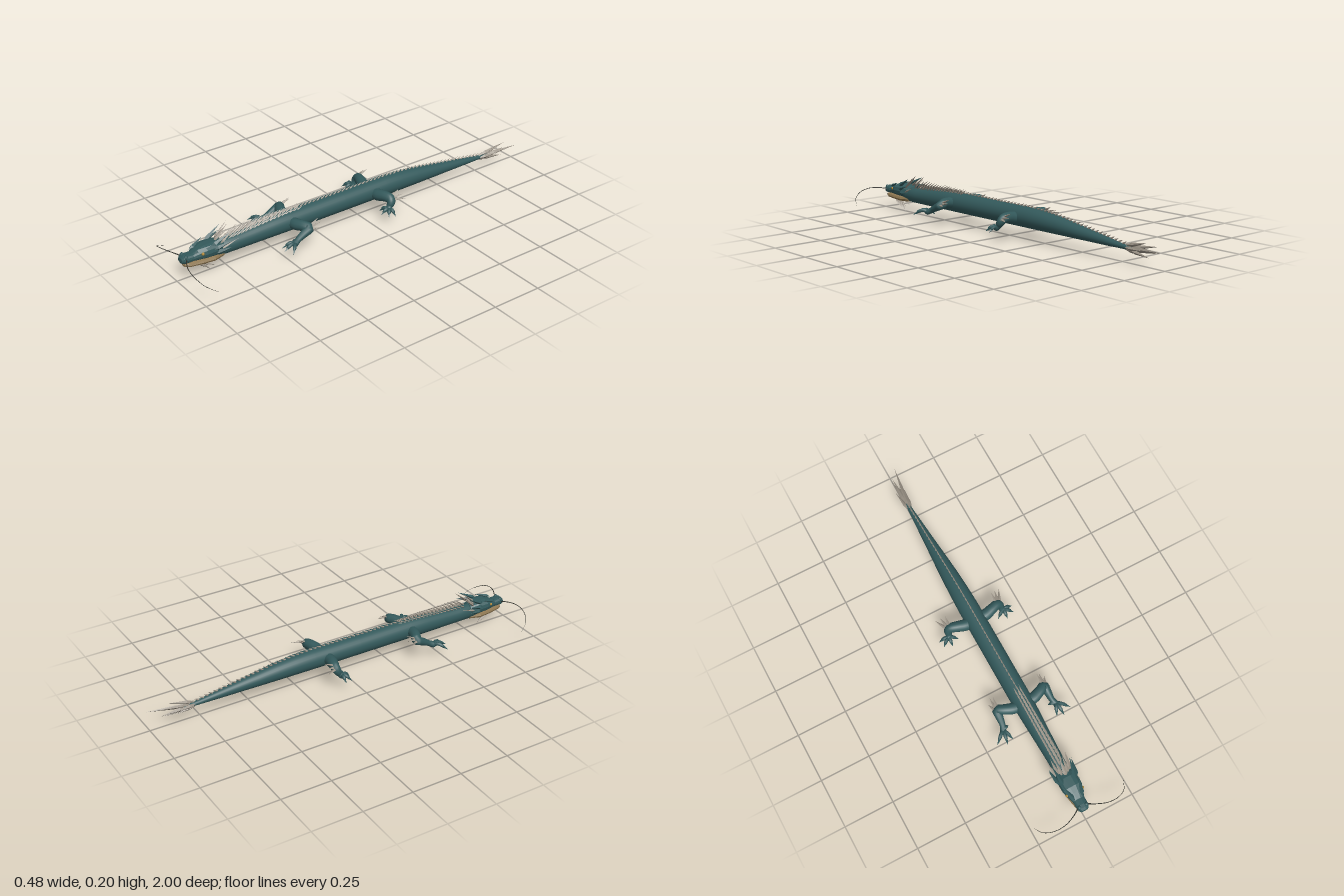
import * as THREE from 'three';
import { mergeGeometries, mergeVertices } from 'three/addons/utils/BufferGeometryUtils.js';

const mat = (name, color) => {
  const m = new THREE.MeshStandardMaterial({ color });
  m.name = name;
  return m;
};
const V = (p) => new THREE.Vector3(p[0], p[1], p[2]);

// Elliptical loft along z; each section is [z, halfWidth, yBottom, yTop], z rising
function loft(sections, sides, power = 1) {
  const pos = [], index = [];
  const bend = (v) => Math.sign(v) * Math.abs(v) ** power;
  sections.forEach(([z, w, y0, y1], i) => {
    for (let j = 0; j < sides; j++) {
      const a = (j / sides) * Math.PI * 2;
      pos.push(w * bend(Math.cos(a)), (y0 + y1) / 2 + ((y1 - y0) / 2) * bend(Math.sin(a)), z);
      if (i === sections.length - 1) continue;
      const k = (j + 1) % sides, p = i * sides, q = p + sides;
      index.push(p + j, p + k, q + j, p + k, q + k, q + j);
    }
  });
  const g = new THREE.BufferGeometry();
  g.setAttribute('position', new THREE.Float32BufferAttribute(pos, 3));
  g.setIndex(index);
  g.computeVertexNormals();
  return g;
}

const faceted = (g) => {
  const f = g.index ? g.toNonIndexed() : g;
  f.computeVertexNormals();
  return f;
};

// Round limb through points [x, y, z, radius]
function limb(points, sides = 10, steps = 20) {
  const curve = new THREE.CatmullRomCurve3(points.map(V));
  const g = new THREE.TubeGeometry(curve, steps, 1, sides);
  const p = g.attributes.position, n = g.attributes.normal;
  for (let i = 0; i < p.count; i++) {
    const u = Math.floor(i / (sides + 1)) / steps;
    const t = curve.getUtoTmapping(u) * (points.length - 1);
    const k = Math.min(Math.floor(t), points.length - 2);
    const r = THREE.MathUtils.lerp(points[k][3], points[k + 1][3], t - k);
    const c = curve.getPointAt(u);
    p.setXYZ(i, c.x + n.getX(i) * r, c.y + n.getY(i) * r, c.z + n.getZ(i) * r);
  }
  g.deleteAttribute('uv');
  g.deleteAttribute('normal');
  const m = mergeVertices(g, 1e-6);
  m.computeVertexNormals();
  return m;
}

// Four-sided pointed blade from base to tip; widest at the fraction "belly"
function spike(base, tip, width, thick, belly = 0.25) {
  const a = V(base), d = V(tip).sub(a), len = d.length();
  const g = new THREE.LatheGeometry(
    [[0, 0], [1, belly], [0, 1]].map(([x, y]) => new THREE.Vector2(x, y)), 4);
  g.scale(width, len, thick);
  const y = d.normalize();
  const ref = Math.abs(y.x) > 0.8 ? new THREE.Vector3(0, 0, 1) : new THREE.Vector3(1, 0, 0);
  const x = ref.addScaledVector(y, -ref.dot(y)).normalize();
  const z = new THREE.Vector3().crossVectors(x, y);
  g.applyMatrix4(new THREE.Matrix4().makeBasis(x, y, z).setPosition(a));
  g.deleteAttribute('uv');
  return faceted(g);
}

const BODY = [
  [-0.86, 0.002, 0.066, 0.07], [-0.82, 0.008, 0.062, 0.076], [-0.75, 0.013, 0.061, 0.084],
  [-0.65, 0.02, 0.06, 0.1], [-0.55, 0.027, 0.06, 0.115], [-0.45, 0.035, 0.06, 0.13],
  [-0.35, 0.042, 0.06, 0.145], [-0.25, 0.047, 0.06, 0.155], [-0.15, 0.05, 0.06, 0.16],
  [0.1, 0.05, 0.06, 0.16], [0.4, 0.05, 0.06, 0.16], [0.5, 0.046, 0.06, 0.155],
  [0.6, 0.041, 0.06, 0.147], [0.7, 0.037, 0.06, 0.14], [0.8, 0.036, 0.062, 0.138],
  [0.83, 0.01, 0.08, 0.11],
];
const backHeight = (z) => {
  const i = Math.max(1, BODY.findIndex((s) => s[0] >= z));
  const [a, b] = [BODY[i - 1], BODY[i]];
  return THREE.MathUtils.mapLinear(z, a[0], b[0], a[3], b[3]);
};

export function createModel() {
  const root = new THREE.Group();
  const teal = mat('teal scales', 0x33595b);
  const bone = mat('grey bone', 0x989084);
  const tan = mat('tan jaw', 0x8e7751);
  const dark = mat('dark whisker', 0x34352f);
  const amber = mat('amber eye', 0xb0852f);
  const add = (name, geo, material, parent = root) => {
    const m = new THREE.Mesh(Array.isArray(geo) ? mergeGeometries(geo) : geo, material);
    m.name = name;
    parent.add(m);
    return m;
  };

  add('body', loft(BODY, 28), teal);

  // Head with blunt snout, raised brow and tan lower jaw
  const head = new THREE.Group();
  head.name = 'head';
  root.add(head);
  add('skull', faceted(loft([
    [0.755, 0.004, 0.1, 0.11], [0.765, 0.036, 0.078, 0.14], [0.81, 0.05, 0.082, 0.15],
    [0.86, 0.05, 0.085, 0.149], [0.89, 0.04, 0.086, 0.138], [0.92, 0.03, 0.087, 0.124],
    [0.95, 0.029, 0.086, 0.126], [0.967, 0.027, 0.086, 0.125], [0.977, 0.018, 0.09, 0.116],
    [0.979, 0.001, 0.1, 0.102]], 14, 0.8)), teal, head);
  add('lowerJaw', faceted(loft([
    [0.75, 0.004, 0.075, 0.08], [0.765, 0.03, 0.062, 0.09], [0.82, 0.044, 0.058, 0.09],
    [0.88, 0.038, 0.06, 0.088], [0.94, 0.027, 0.063, 0.086], [0.962, 0.018, 0.068, 0.085],
    [0.966, 0.001, 0.076, 0.078]], 12, 0.75)), tan, head);

  const horns = [], crest = [], beard = [], fangs = [];
  for (const s of [-1, 1]) {
    horns.push(
      spike([s * 0.03, 0.135, 0.84], [s * 0.047, 0.188, 0.74], 0.011, 0.011),
      spike([s * 0.044, 0.125, 0.83], [s * 0.06, 0.15, 0.74], 0.01, 0.012),
      spike([s * 0.044, 0.105, 0.82], [s * 0.058, 0.115, 0.74], 0.009, 0.013),
      spike([s * 0.02, 0.128, 0.92], [s * 0.046, 0.155, 0.835], 0.011, 0.009));
    crest.push(
      spike([s * 0.016, 0.135, 0.8], [s * 0.02, 0.188, 0.72], 0.009, 0.006),
      spike([s * 0.028, 0.13, 0.79], [s * 0.038, 0.198, 0.71], 0.009, 0.006),
      spike([s * 0.036, 0.11, 0.79], [s * 0.05, 0.145, 0.7], 0.008, 0.005));
    beard.push(
      spike([s * 0.012, 0.066, 0.9], [s * 0.013, 0.022, 0.84], 0.009, 0.005, 0.4),
      spike([s * 0.02, 0.066, 0.88], [s * 0.02, 0.03, 0.815], 0.008, 0.005, 0.4));
    fangs.push(spike([s * 0.024, 0.088, 0.95], [s * 0.025, 0.074, 0.952], 0.003, 0.003));
    add('eye', new THREE.SphereGeometry(0.007, 10, 8).translate(s * 0.041, 0.122, 0.882), amber, head);
    add('nostril', new THREE.SphereGeometry(0.01, 8, 6).translate(s * 0.018, 0.119, 0.957), teal, head);
    add('whisker', limb([
      [s * 0.022, 0.108, 0.955, 0.003], [s * 0.06, 0.115, 0.978, 0.0022], [s * 0.11, 0.115, 0.997, 0.0018],
      [s * 0.165, 0.102, 0.997, 0.0015], [s * 0.212, 0.076, 0.975, 0.0012],
      [s * 0.239, 0.046, 0.93, 0.0005]], 5, 28), dark, head);
  }
  crest.push(spike([0, 0.135, 0.81], [0, 0.205, 0.73], 0.012, 0.006));
  beard.push(spike([0, 0.066, 0.89], [0, 0.003, 0.825], 0.01, 0.006, 0.4));
  add('horns', horns, teal, head);
  add('crest', crest, bone, head);
  add('beard', beard, bone, head);
  add('fangs', fangs, bone, head);

  // Mane on the neck, shrinking into a row of small spines down the back
  const mane = [], spines = [];
  for (let i = 0, z = 0.75; z > 0.36; z -= 0.022, i++) {
    const f = (z - 0.3) / 0.45, y = backHeight(z) - 0.006;
    mane.push(spike([0, y, z], [0, y + 0.018 + 0.038 * f, z - 0.045 - 0.03 * f], 0.006, 0.004));
    for (const s of [-1, 1]) {
      mane.push(spike([s * 0.012, y - 0.002, z - 0.01],
        [s * (0.013 + 0.008 * f), y + 0.01 + 0.032 * f, z - 0.05 - 0.03 * f], 0.005, 0.004));
    }
  }
  for (let z = 0.36; z > -0.8; z -= 0.024) {
    const y = backHeight(z) - 0.004;
    spines.push(spike([0, y, z], [0, y + 0.016, z - 0.03], 0.004, 0.006));
  }
  add('mane', mane, bone);
  add('backSpines', spines, bone);

  // Leafy tuft at the tail tip: [x, y, z] of base then tip
  add('tailTuft', [
    [0, 0.07, -0.78, 0.03, 0.086, -1], [0, 0.07, -0.77, -0.008, 0.1, -0.95],
    [0, 0.068, -0.78, -0.012, 0.068, -0.95], [0, 0.066, -0.77, 0.01, 0.046, -0.92],
    [0.004, 0.07, -0.75, 0.024, 0.075, -0.88], [-0.004, 0.07, -0.75, -0.024, 0.075, -0.88],
    [0, 0.075, -0.75, 0.008, 0.11, -0.9], [0, 0.064, -0.75, -0.008, 0.05, -0.87],
  ].map((p) => spike(p.slice(0, 3), p.slice(3), 0.009, 0.01, 0.4)), bone);

  // Legs: path of the limb, toes as [x, z] tips, and elbow spikes as tips
  const legs = [
    { name: 'frontLeg',
      path: [[0.02, 0.11, 0.4, 0.027], [0.06, 0.114, 0.395, 0.028], [0.1, 0.118, 0.38, 0.025],
        [0.126, 0.114, 0.367, 0.023], [0.13, 0.098, 0.4, 0.019], [0.133, 0.08, 0.435, 0.014],
        [0.142, 0.068, 0.46, 0.015], [0.146, 0.064, 0.475, 0.001]],
      foot: [0.142, 0.07, 0.455],
      toes: [[0.198, 0.505], [0.153, 0.527], [0.118, 0.515], [0.105, 0.445]],
      spikes: [[0.118, 0.148, 0.31], [0.152, 0.114, 0.325], [0.132, 0.13, 0.305]] },
    { name: 'hindLeg',
      path: [[0.02, 0.105, -0.08, 0.029], [0.06, 0.11, -0.082, 0.029], [0.1, 0.116, -0.092, 0.026],
        [0.13, 0.114, -0.1, 0.023], [0.142, 0.098, -0.095, 0.02], [0.143, 0.082, -0.085, 0.015],
        [0.152, 0.069, -0.072, 0.015], [0.156, 0.065, -0.06, 0.001]],
      foot: [0.15, 0.07, -0.078],
      toes: [[0.2, -0.08], [0.193, -0.045], [0.15, -0.03], [0.108, -0.05]],
      spikes: [[0.126, 0.147, -0.155], [0.175, 0.115, -0.168], [0.15, 0.13, -0.165]] },
  ];
  for (const { name, path, foot, toes, spikes } of legs) {
    for (const s of [-1, 1]) {
      const leg = new THREE.Group();
      leg.name = (s > 0 ? 'left ' : 'right ') + name;
      root.add(leg);
      const flip = ([x, ...rest]) => [x * s, ...rest];
      add('limb', limb(path.map(flip), 12, 28), teal, leg);
      const claws = [];
      for (const [x, z] of toes) {
        const at = (t, y) => [THREE.MathUtils.lerp(foot[0], x, t), y, THREE.MathUtils.lerp(foot[2], z, t)];
        add('toe', limb([[...foot, 0.009], [...at(0.35, 0.078), 0.009],
          [...at(0.65, 0.07), 0.008], [...at(0.75, 0.064), 0.002]].map(flip), 7, 8), teal, leg);
        claws.push(spike(flip(at(0.6, 0.07)), flip(at(1, 0.055)), 0.006, 0.006));
      }
      add('claws', claws, teal, leg);
      const elbow = path[3];
      add('elbowSpikes', spikes.map((t) => spike(flip([
        elbow[0] + (t[0] - elbow[0]) * 0.25, elbow[1] + (t[1] - elbow[1]) * 0.25, elbow[2]]),
        flip(t), 0.009, 0.006)), bone, leg);
    }
  }
  return root;
}
